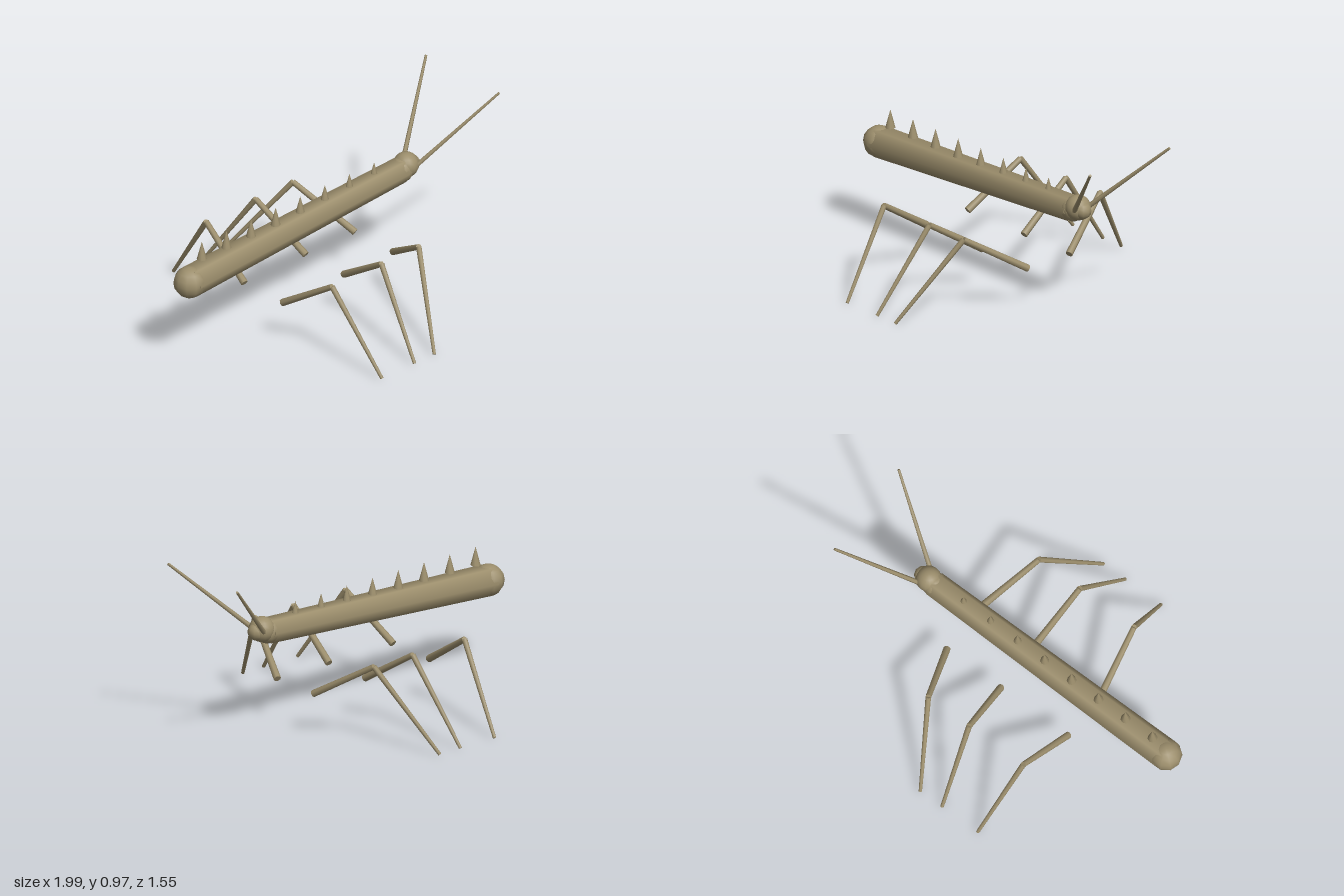
import * as THREE from 'three';

export function createModel() {
  const model = new THREE.Group();
  const bark = new THREE.MeshStandardMaterial({ color: 0x9c8e6c });
  bark.name = 'bark brown';
  const V = (x, y, z) => new THREE.Vector3(x, y, z);

  function add(name, geometry, position, parent = model) {
    const mesh = new THREE.Mesh(geometry, bark);
    mesh.name = name;
    mesh.position.copy(position);
    parent.add(mesh);
    return mesh;
  }

  // Tapered rod between two points
  function rod(name, from, to, rFrom, rTo, sides, parent) {
    const dir = to.clone().sub(from);
    const geometry = new THREE.CylinderGeometry(rTo, rFrom, dir.length(), sides);
    const mesh = add(name, geometry, from.clone().lerp(to, 0.5), parent);
    mesh.quaternion.setFromUnitVectors(V(0, 1, 0), dir.normalize());
    return mesh;
  }

  // Six-sided body with rounded ends
  const tail = V(-0.915, 0.49, 0), neck = V(0.56, 0.578, 0);
  rod('body', tail, neck, 0.084, 0.069, 6);
  add('tailEnd', new THREE.SphereGeometry(0.084, 10, 8), tail);
  add('neckEnd', new THREE.SphereGeometry(0.066, 10, 8), neck);

  // Head and blunt snout
  add('head', new THREE.SphereGeometry(0.067, 16, 12), V(0.595, 0.595, 0));
  add('snout', new THREE.SphereGeometry(0.046, 10, 8), V(0.631, 0.59, 0));

  // Row of thorns along the back
  for (let i = 0; i < 8; i++) {
    add('thorn', new THREE.ConeGeometry(0.026, 0.1, 8), V(-0.83 + i * 0.1717, 0.642, 0));
  }

  // Antennae and three pairs of bent legs: x of hip, knee and foot
  const legs = { rearLeg: [-0.4, -0.36, -0.3], middleLeg: [0.028, -0.015, -0.073], frontLeg: [0.372, 0.245, 0.065] };
  for (const side of [1, -1]) {
    rod('antenna', V(0.62, 0.595, side * 0.047), V(0.99, 0.968, side * 0.27), 0.013, 0.007, 6);
    for (const [name, [hip, knee, foot]] of Object.entries(legs)) {
      const leg = new THREE.Group();
      leg.name = name;
      const kneePoint = V(knee, 0.438, side * 0.465);
      rod('upperLeg', V(hip, 0.23, side * 0.14), kneePoint, 0.019, 0.015, 8, leg);
      rod('lowerLeg', kneePoint, V(foot, 0.006, side * 0.77), 0.015, 0.009, 8, leg);
      model.add(leg);
    }
  }
  return model;
}
